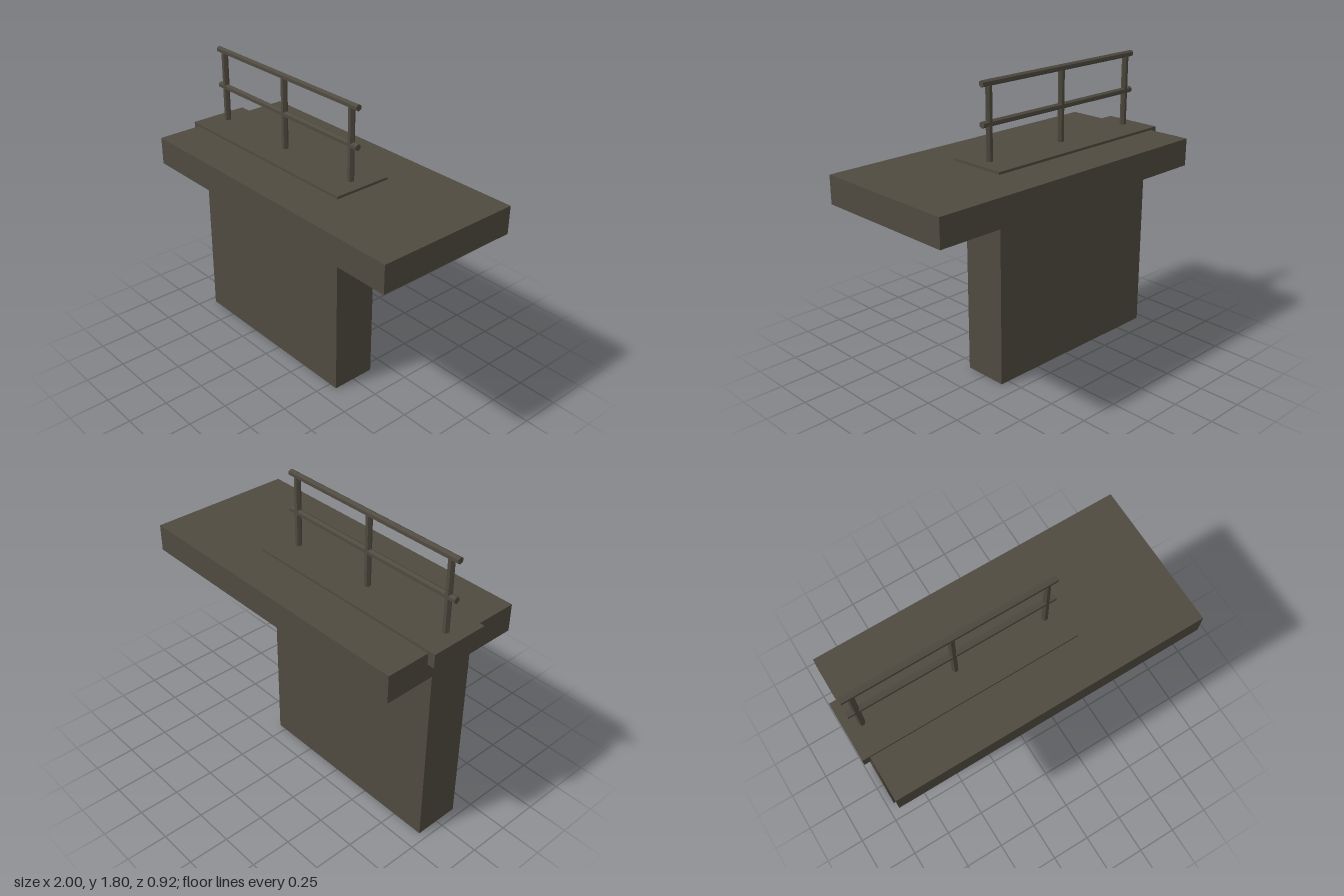
import * as THREE from 'three';

export function createModel() {
  const model = new THREE.Group();
  const darkStone = new THREE.MeshStandardMaterial({ color: 0x4f4a40, flatShading: true });

  const add = (parent, name, geometry, x, y, z) => {
    const mesh = new THREE.Mesh(geometry, darkStone);
    mesh.name = name;
    mesh.position.set(x, y, z);
    parent.add(mesh);
    return mesh;
  };

  // Box given by its extents in x and y and its depth, centred on z = 0
  const block = (name, x0, x1, y0, y1, depth) =>
    add(model, name, new THREE.BoxGeometry(x1 - x0, y1 - y0, depth), (x0 + x1) / 2, (y0 + y1) / 2, 0);

  block('supportWall', -0.955, 0.305, 0, 1.155, 0.285);
  block('platformSlab', -0.955, 1, 1.155, 1.325, 0.92);
  block('walkwayPlate', -1, 0.35, 1.255, 1.34, 0.37);

  // Hexagonal bars of the railing
  const railing = new THREE.Group();
  railing.name = 'railing';
  model.add(railing);
  const bar = (length) => new THREE.CylinderGeometry(0.02, 0.02, length, 6, 1, false, Math.PI / 6);

  const base = 1.335, top = 1.785;
  for (const x of [-0.9, -0.325, 0.25]) {
    add(railing, 'railPost', bar(top - base), x, (base + top) / 2, 0);
  }
  for (const [name, y] of [['middleRail', 1.557], ['topRail', top]]) {
    add(railing, name, bar(1.26), -0.325, y, 0).rotation.z = Math.PI / 2;
  }

  return model;
}
